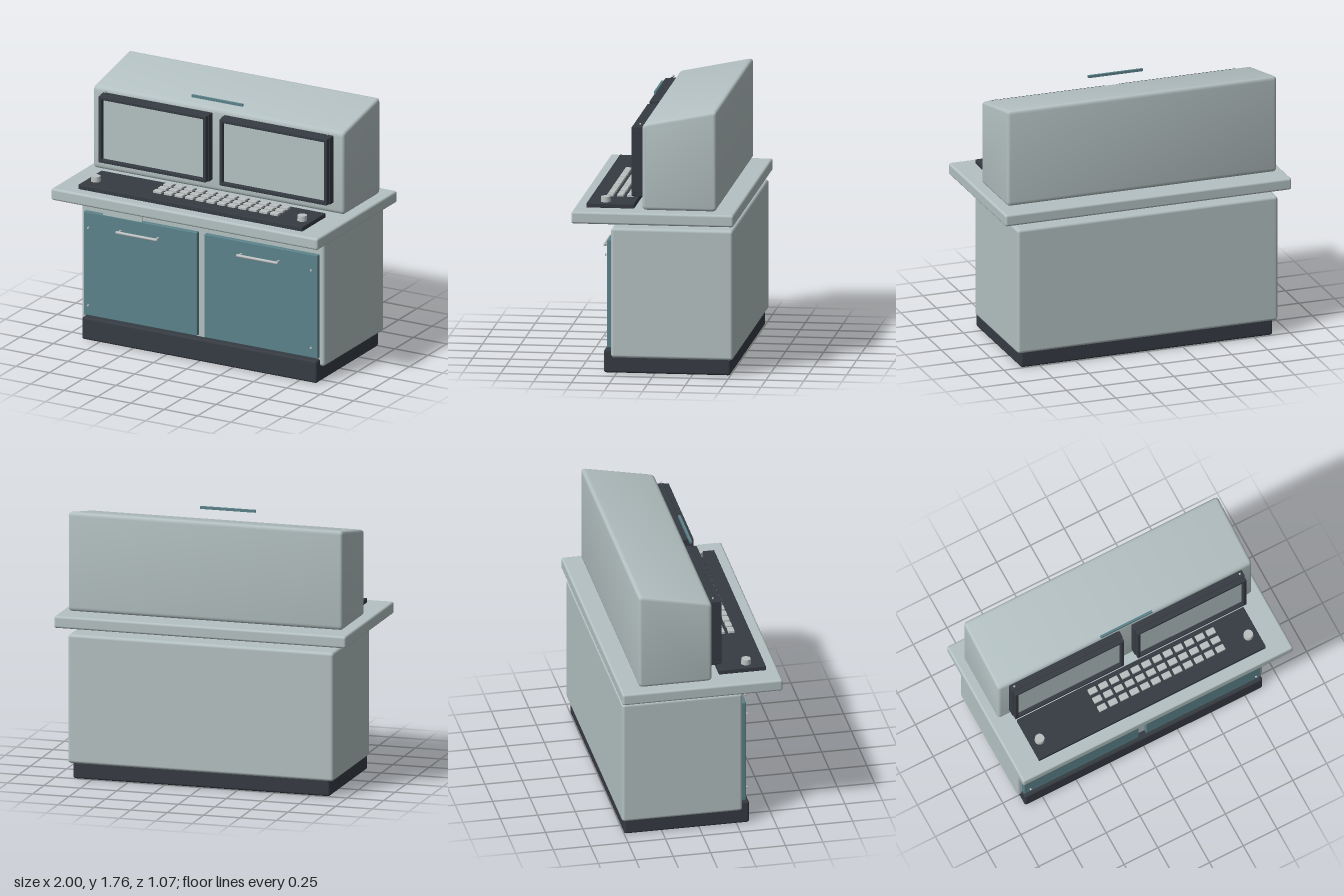
import * as THREE from 'three';
import { RoundedBoxGeometry } from 'three/addons/geometries/RoundedBoxGeometry.js';
import { toCreasedNormals } from 'three/addons/utils/BufferGeometryUtils.js';

const material = (name, color) => {
  const m = new THREE.MeshStandardMaterial({ color });
  m.name = name;
  return m;
};

export function createModel() {
  const shell = material('pale grey shell', 0xb4c1c2);
  const teal = material('teal panel', 0x5c838b);
  const dark = material('charcoal', 0x363b43);
  const metal = material('light metal', 0xbcc0c0);

  const root = new THREE.Group();
  root.name = 'controlConsole';

  const add = (name, geometry, mat, x = 0, y = 0, z = 0, parent = root) => {
    const mesh = new THREE.Mesh(geometry, mat);
    mesh.name = name;
    mesh.position.set(x, y, z);
    parent.add(mesh);
    return mesh;
  };
  // Box given by its limits; r > 0 rounds the edges
  const block = (name, mat, [x0, x1], [y0, y1], [z0, z1], r = 0, parent = root) => {
    const s = [x1 - x0, y1 - y0, z1 - z0];
    const g = r ? new RoundedBoxGeometry(...s, 3, r) : new THREE.BoxGeometry(...s);
    return add(name, g, mat, (x0 + x1) / 2, (y0 + y1) / 2, (z0 + z1) / 2, parent);
  };
  // Polygon with rounded corners
  const roundedShape = (points, r) => {
    const shape = new THREE.Shape();
    const pts = points.map(p => new THREE.Vector2(...p));
    pts.forEach((p, i) => {
      const toward = q => p.clone().add(q.clone().sub(p).setLength(r));
      const a = toward(pts[(i + pts.length - 1) % pts.length]);
      const b = toward(pts[(i + 1) % pts.length]);
      if (i) shape.lineTo(a.x, a.y); else shape.moveTo(a.x, a.y);
      shape.quadraticCurveTo(p.x, p.y, b.x, b.y);
    });
    shape.closePath();
    return shape;
  };

  // Plinth, cabinet and desk top
  block('plinth', dark, [-0.88, 0.88], [0, 0.155], [-0.5, 0.335], 0.015);
  block('cabinet', shell, [-0.91, 0.91], [0.105, 0.97], [-0.52, 0.285], 0.02);
  block('deskTop', shell, [-1, 1], [1.01, 1.09], [-0.535, 0.535], 0.015);

  // Upper housing with sloping roof: side profile (z, y) extruded across x
  const bevel = 0.02;
  const profile = roundedShape([[-0.415, 1.1], [0.075, 1.1], [0.075, 1.67], [-0.415, 1.77]], 0.03);
  const housing = new THREE.ExtrudeGeometry(profile, {
    depth: 1.88 - 2 * bevel, bevelSize: bevel, bevelThickness: bevel,
    bevelOffset: -bevel, bevelSegments: 3, curveSegments: 4,
  });
  housing.translate(0, 0, -0.94 + bevel);
  housing.rotateY(-Math.PI / 2);
  add('upperHousing', toCreasedNormals(housing, 0.7), shell);
  block('statusStrip', teal, [-0.19, 0.19], [1.73, 1.747], [0.08, 0.095]);

  const screw = (name, x, y, z) => {
    const g = new THREE.CylinderGeometry(0.007, 0.007, 0.01, 10);
    g.rotateX(Math.PI / 2);
    add(name, g, metal, x, y, z);
  };

  for (const side of [-1, 1]) {
    const label = side > 0 ? 'left' : 'right';

    // Monitor: backing, raised bezel and screen
    const monitor = new THREE.Group();
    monitor.name = label + 'Monitor';
    monitor.position.set(side * 0.453, 1.407, 0);
    root.add(monitor);
    block('monitorBacking', dark, [-0.408, 0.408], [-0.234, 0.234], [0.07, 0.122], 0.006, monitor);
    for (const s of [-1, 1]) {
      const span = (a, b) => (s > 0 ? [a, b] : [-b, -a]);
      block('bezelRail', dark, [-0.403, 0.403], span(0.207, 0.23), [0.12, 0.155], 0.005, monitor);
      block('bezelPost', dark, span(0.38, 0.403), [-0.21, 0.21], [0.12, 0.155], 0.005, monitor);
    }
    block('screen', shell, [-0.381, 0.381], [-0.208, 0.208], [0.121, 0.128], 0, monitor);
    screw('monitorScrew', side * 0.835, 1.655, 0.1);

    // Cabinet door with bar handle and corner screws
    const cx = side * 0.452;
    block(label + 'Door', teal, [cx - 0.425, cx + 0.425], [0.165, 0.885], [0.283, 0.315], 0.006);
    const bar = new THREE.CapsuleGeometry(0.01, 0.295, 4, 12);
    bar.rotateZ(Math.PI / 2);
    add(label + 'Handle', bar, metal, cx, 0.8, 0.365);
    for (const s of [-1, 1]) {
      const post = new THREE.CylinderGeometry(0.008, 0.008, 0.04, 12);
      post.rotateX(Math.PI / 2);
      add(label + 'HandlePost', post, metal, cx + s * 0.14, 0.8, 0.343);
    }
    for (const y of [0.24, 0.78]) screw('doorScrew', side * 0.835, y, 0.328);

    // Control knob
    add(label + 'Knob', new THREE.CylinderGeometry(0.031, 0.033, 0.036, 20), metal,
      side * 0.773, 1.138, 0.335);
  }

  // Label plate above the right door
  block('blankPlate', shell, [-0.725, -0.43], [0.89, 0.97], [0.322, 0.328]);

  // Keyboard deck and keys
  block('keyboardDeck', dark, [-0.84, 0.84], [1.088, 1.12], [0.14, 0.455], 0.005);
  const keys = new THREE.Group();
  keys.name = 'keys';
  root.add(keys);
  const keyGeometry = new RoundedBoxGeometry(0.06, 0.02, 0.042, 2, 0.004);
  for (let row = 0; row < 3; row++) {
    for (let col = 0; col < 12; col++) {
      add('key', keyGeometry, metal, -0.307 + col * 0.0795, 1.126, 0.197 + row * 0.066, keys);
    }
  }
  return root;
}
